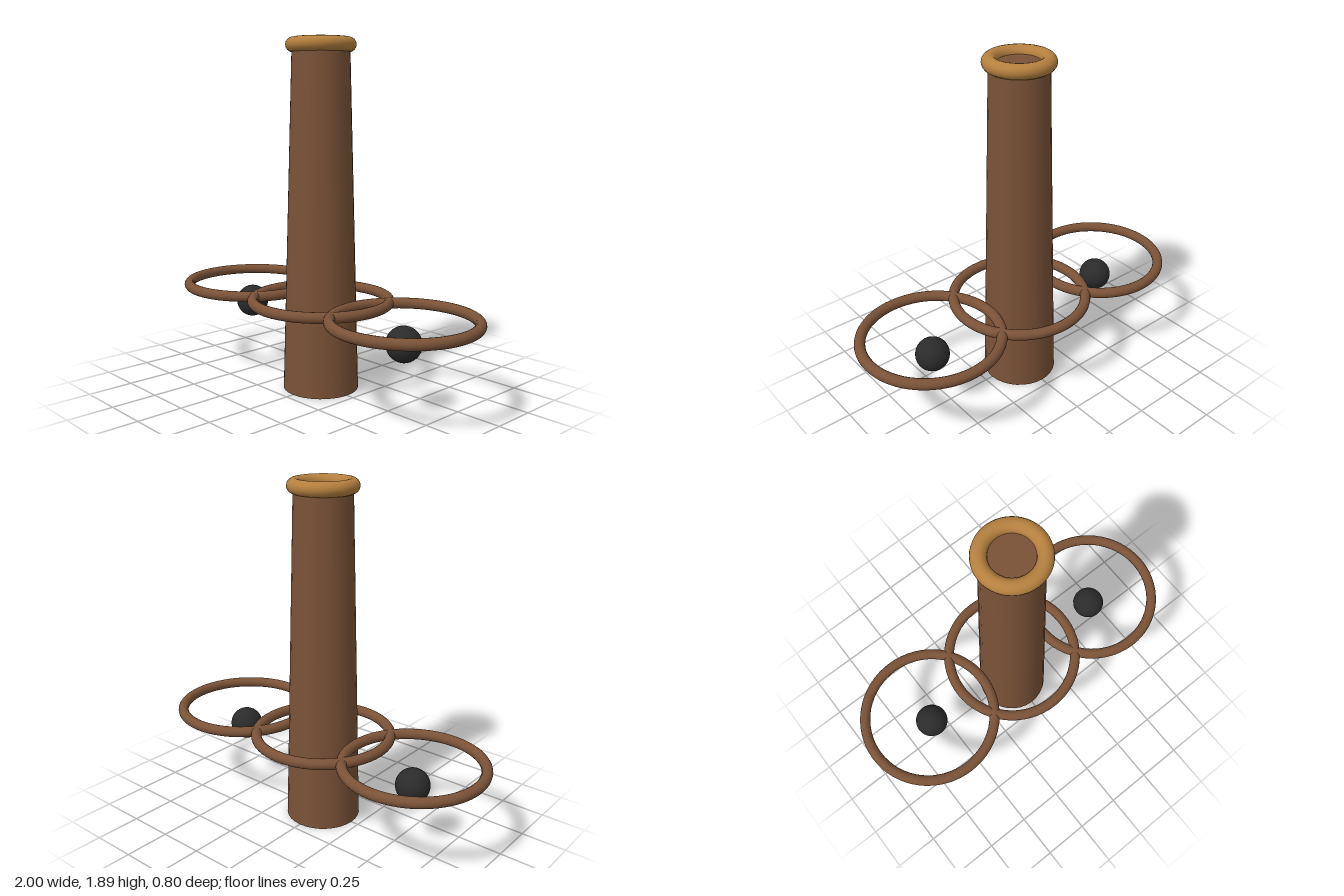
import * as THREE from 'three';

const material = (name, color) => {
  const m = new THREE.MeshStandardMaterial({ color });
  m.name = name;
  return m;
};

export function createModel() {
  const group = new THREE.Group();
  group.name = 'model';
  const brown = material('brown', 0x7a5237);
  const gold = material('gold', 0xb5803f);
  const black = material('black', 0x2b2b2b);

  const add = (name, geometry, mat, x, y) => {
    const mesh = new THREE.Mesh(geometry, mat);
    mesh.name = name;
    mesh.position.set(x, y, 0);
    group.add(mesh);
  };

  // Tapered, capped column with a rounded rim
  const top = 1.85;
  add('column', new THREE.CylinderGeometry(0.153, 0.205, top, 32), brown, 0, top / 2);
  add('rim', new THREE.TorusGeometry(0.147, 0.039, 16, 48).rotateX(Math.PI / 2), gold, 0, top);

  // Three interlocking horizontal rings
  const ring = new THREE.TorusGeometry(0.371, 0.029, 16, 64).rotateX(Math.PI / 2);
  add('centreRing', ring, brown, 0, 0.488);

  // Outer rings, each with a ball beneath its centre
  const ball = new THREE.SphereGeometry(0.092, 32, 20);
  for (const [side, x] of [['left', 0.6], ['right', -0.6]]) {
    add(side + 'Ring', ring, brown, x, 0.488);
    add(side + 'Ball', ball, black, x, 0.374);
  }
  return group;
}
